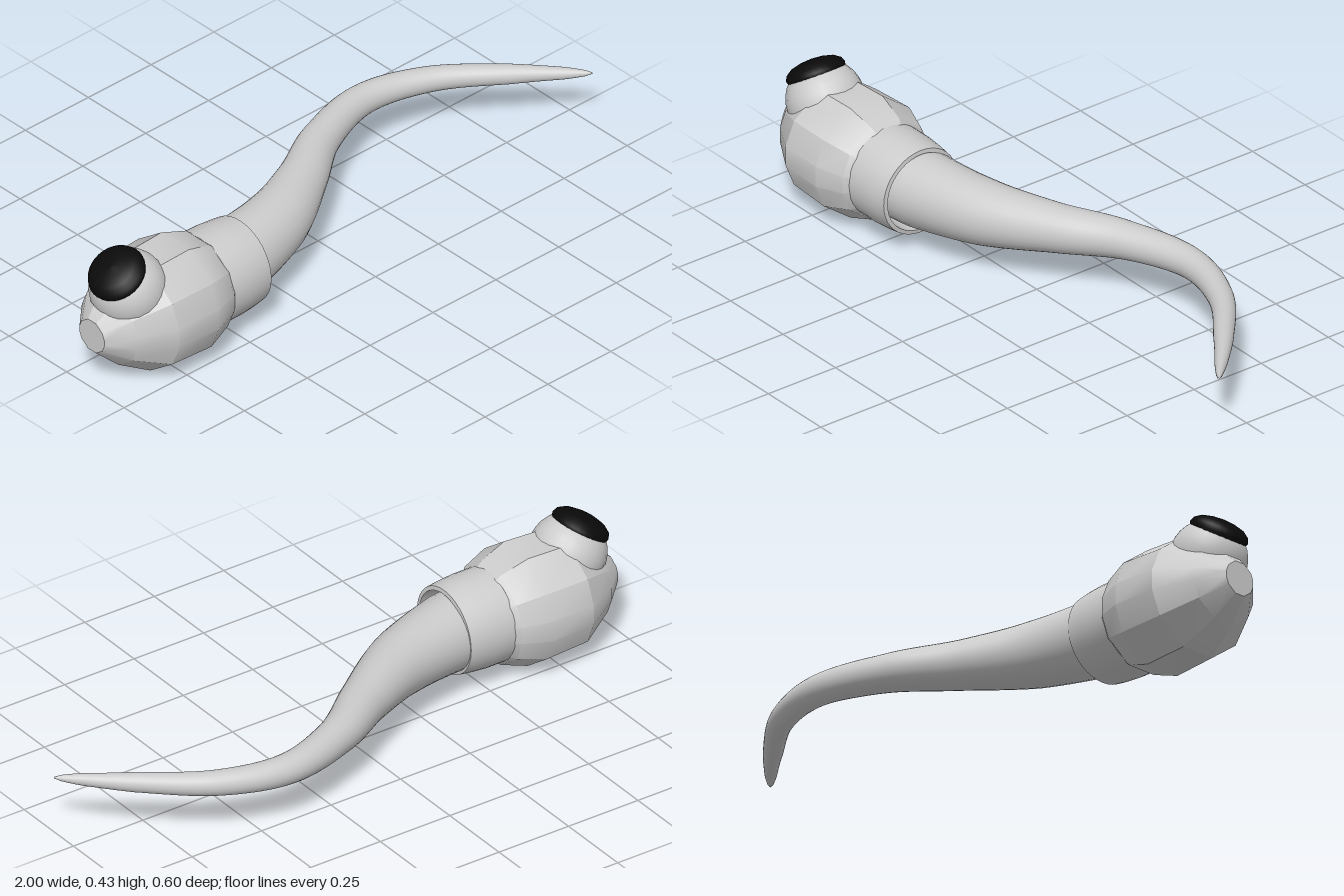
import * as THREE from 'three';
import { toCreasedNormals } from 'three/addons/utils/BufferGeometryUtils.js';

const AXIS_Y = 0.186, AXIS_Z = 0.11;
const grey = new THREE.MeshStandardMaterial({ color: 0xcccccc });
const black = new THREE.MeshStandardMaterial({ color: 0x0a0a0a });

const v2 = (list) => list.map(([r, h]) => new THREE.Vector2(r, h));

function addMesh(parent, name, geometry, material = grey) {
  const mesh = new THREE.Mesh(geometry, material);
  mesh.name = name;
  parent.add(mesh);
  return mesh;
}

// Faceted head: twelve-sided lathe along x, its corners paired into an uneven polygon
function headGeometry() {
  const geo = new THREE.LatheGeometry(v2([
    [0, -1], [0.055, -1], [0.122, -0.93], [0.187, -0.82],
    [0.194, -0.67], [0.162, -0.58], [0.125, -0.54], [0, -0.53],
  ]), 12);
  const quarter = [10, 35, 72, 108, 145, 170];
  const angles = [...quarter, ...quarter.map((a) => a + 180), 370];
  const pos = geo.attributes.position;
  const rings = pos.count / 13;
  for (let i = 0; i < pos.count; i++) {
    const a = THREE.MathUtils.degToRad(angles[Math.floor(i / rings)]);
    const r = Math.hypot(pos.getX(i), pos.getZ(i));
    pos.setXYZ(i, r * Math.sin(a), pos.getY(i), r * Math.cos(a));
  }
  geo.rotateZ(-Math.PI / 2);
  return toCreasedNormals(geo, 0.45);
}

// Open collar with an inner wall, so the tail sits in a recess
function collarGeometry() {
  const geo = new THREE.LatheGeometry(v2([
    [0.125, -0.59], [0.147, -0.57], [0.147, -0.5], [0.143, -0.45],
    [0.138, -0.412], [0.125, -0.41], [0.118, -0.5],
  ]), 40);
  geo.rotateZ(-Math.PI / 2);
  return toCreasedNormals(geo, 0.5);
}

// Tapering tail: unit tube along the S-curve, each ring scaled to its radius
function tailGeometry() {
  const path = new THREE.CatmullRomCurve3([
    [-0.54, 0.11], [-0.41, 0.093], [-0.2, 0.037], [0, -0.07], [0.18, -0.185],
    [0.41, -0.254], [0.62, -0.2], [0.82, -0.055], [0.998, 0.102],
  ].map(([x, z]) => new THREE.Vector3(x, AXIS_Y, z)));
  const taper = [
    [-0.54, 0.118], [-0.41, 0.118], [-0.2, 0.1], [0, 0.075], [0.2, 0.057],
    [0.41, 0.047], [0.62, 0.039], [0.82, 0.03], [0.94, 0.018], [0.98, 0.01], [1, 0.001],
  ];
  const radiusAt = (x) => {
    let k = 1;
    while (k < taper.length - 1 && taper[k][0] < x) k++;
    const [x0, r0] = taper[k - 1], [x1, r1] = taper[k];
    return THREE.MathUtils.mapLinear(x, x0, x1, r0, r1);
  };
  const segments = 80, sides = 28;
  const geo = new THREE.TubeGeometry(path, segments, 1, sides);
  const pos = geo.attributes.position, p = new THREE.Vector3();
  for (let i = 0; i <= segments; i++) {
    const centre = path.getPointAt(i / segments);
    const r = radiusAt(centre.x);
    for (let j = 0; j <= sides; j++) {
      const n = i * (sides + 1) + j;
      p.fromBufferAttribute(pos, n).sub(centre).multiplyScalar(r).add(centre);
      pos.setXYZ(n, p.x, p.y, p.z);
    }
  }
  return geo;
}

export function createModel() {
  const model = new THREE.Group();
  model.name = 'tadpole';

  for (const [name, geo] of [['head', headGeometry()], ['collar', collarGeometry()]]) {
    addMesh(model, name, geo).position.set(0, AXIS_Y, AXIS_Z);
  }
  addMesh(model, 'tail', tailGeometry());

  // Single eye tilted up and forward along the head
  const eye = new THREE.Group();
  eye.name = 'eye';
  eye.position.set(-0.86, 0.298, 0.115);
  eye.rotation.z = THREE.MathUtils.degToRad(33);
  addMesh(eye, 'eyeball', new THREE.SphereGeometry(0.118, 24, 16));
  addMesh(eye, 'pupil', new THREE.LatheGeometry(v2([
    [0.075, 0.06], [0.088, 0.072], [0.092, 0.085], [0.086, 0.1],
    [0.066, 0.114], [0.035, 0.122], [0, 0.125],
  ]), 32), black);
  model.add(eye);

  return model;
}
